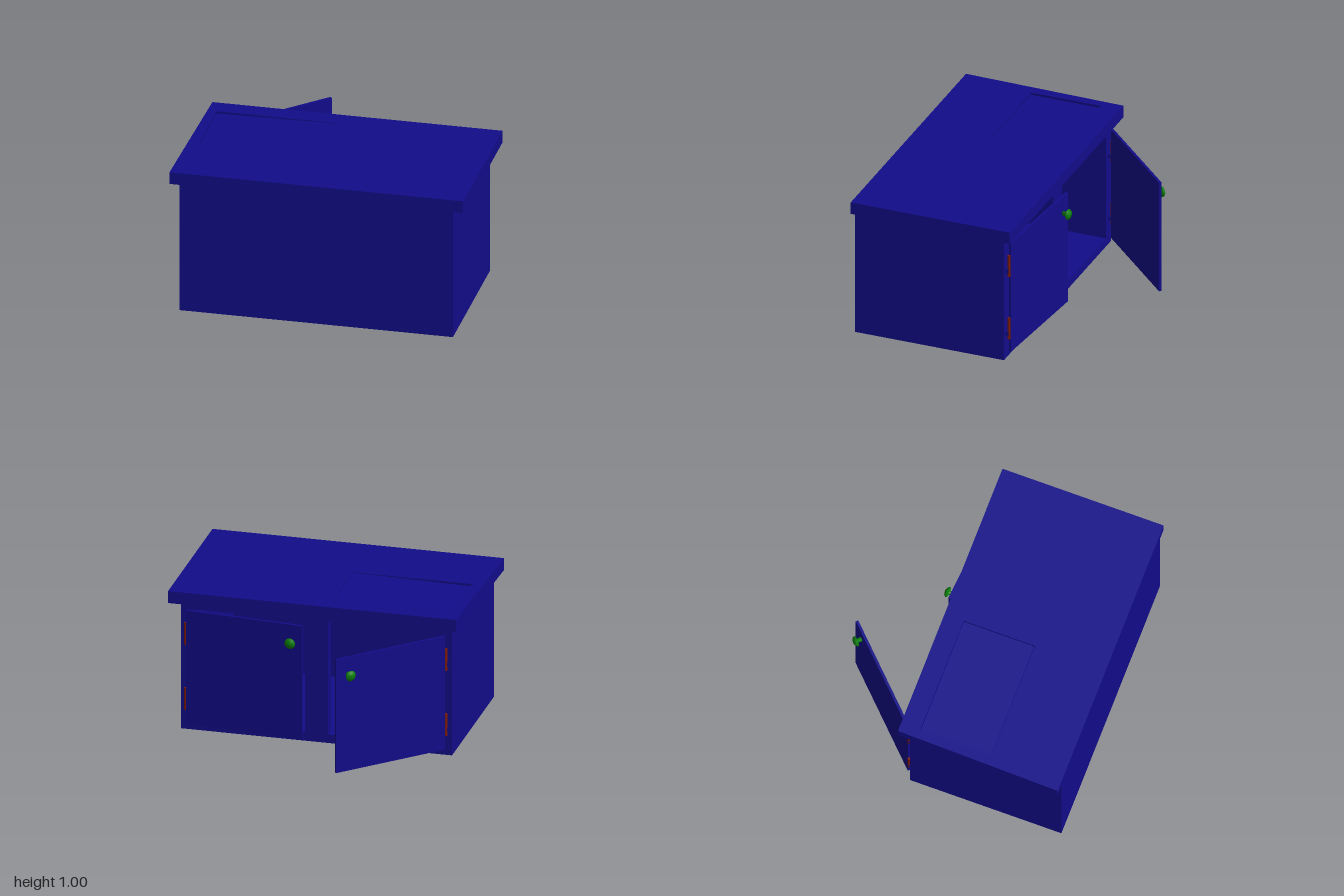
import * as THREE from 'three';

const mat = (color, side = THREE.FrontSide) => new THREE.MeshStandardMaterial({ color, side });

export function createModel() {
  const model = new THREE.Group();
  const blue = mat(0x120c8a);
  const green = mat(0x0a7d0a);
  const red = mat(0x7d1a0a);

  function add(parent, name, geometry, material, x = 0, y = 0, z = 0) {
    const mesh = new THREE.Mesh(geometry, material);
    mesh.name = name;
    mesh.position.set(x, y, z);
    parent.add(mesh);
    return mesh;
  }
  const polygon = (points) => new THREE.Shape(points.map(([x, y]) => new THREE.Vector2(x, y)));
  const rect = (x0, y0, x1, y1) => polygon([[x0, y0], [x1, y0], [x1, y1], [x0, y1]]);
  const extrude = (shape, depth) => new THREE.ExtrudeGeometry(shape, { depth, bevelEnabled: false });

  // Carcass: a rectangular tube open to the back, closed by the front panel
  const shell = rect(-0.93, 0, 0.93, 0.915);
  shell.holes.push(rect(-0.84, 0.06, 0.84, 0.86));
  add(model, 'carcass', extrude(shell, 1.0), blue, 0, 0, -0.225);
  add(model, 'frontPanel', new THREE.BoxGeometry(1.86, 0.915, 0.07), blue, 0, 0.4575, 0.81);
  add(model, 'centrePost', new THREE.BoxGeometry(0.16, 0.8, 0.07), blue, 0, 0.46, -0.19);

  // Worktop with a cut-out, its shape drawn in x and -z
  const top = polygon([[-1, -0.845], [1, -0.845], [1, 0.295], [-0.975, 0.295]]);
  top.holes.push(rect(-0.915, -0.345, -0.095, 0.16));
  const worktop = add(model, 'worktop', extrude(top, 0.085), blue, 0, 0.915, 0);
  worktop.rotation.x = -Math.PI / 2;

  // Lid sitting slightly askew in the cut-out
  const lid = add(model, 'worktopLid', new THREE.BoxGeometry(0.812, 0.07, 0.498), blue, -0.505, 0.957, 0.0925);
  lid.rotation.z = 0.016;

  // Knob profile, turned about the axis that points out of the door
  const knobProfile = [[0, 0], [0.016, 0], [0.014, 0.026], [0.034, 0.032], [0.037, 0.04], [0.028, 0.052], [0.012, 0.058], [0, 0.059]]
    .map(([r, h]) => new THREE.Vector2(r, h));
  const knobGeometry = new THREE.LatheGeometry(knobProfile, 24);

  // Doors swing about their outer edges; side is -1 or 1 along x
  function addDoor(name, side, width, angle) {
    const door = new THREE.Group();
    door.name = name;
    door.position.set(side * 0.885, 0, -0.25);
    door.rotation.y = -side * angle;
    add(door, 'doorPanel', new THREE.BoxGeometry(width, 0.81, 0.018), blue, -side * width / 2, 0.455, 0);
    const knob = add(door, 'doorKnob', knobGeometry, green, -side * 0.745, 0.74, -0.009);
    knob.rotation.x = -Math.PI / 2;
    model.add(door);

    // Hinges with small tabs fixing them to the carcass
    for (const y of [0.225, 0.69]) {
      add(model, 'hinge', new THREE.CylinderGeometry(0.011, 0.011, 0.155, 12), red, side * 0.892, y, -0.246);
      add(model, 'hingeTab', new THREE.BoxGeometry(0.03, 0.03, 0.03), blue, side * 0.892, y - 0.035, -0.232);
    }
  }
  addDoor('openDoor', -1, 0.834, Math.PI / 4);
  addDoor('ajarDoor', 1, 0.818, 0.087);

  return model;
}
